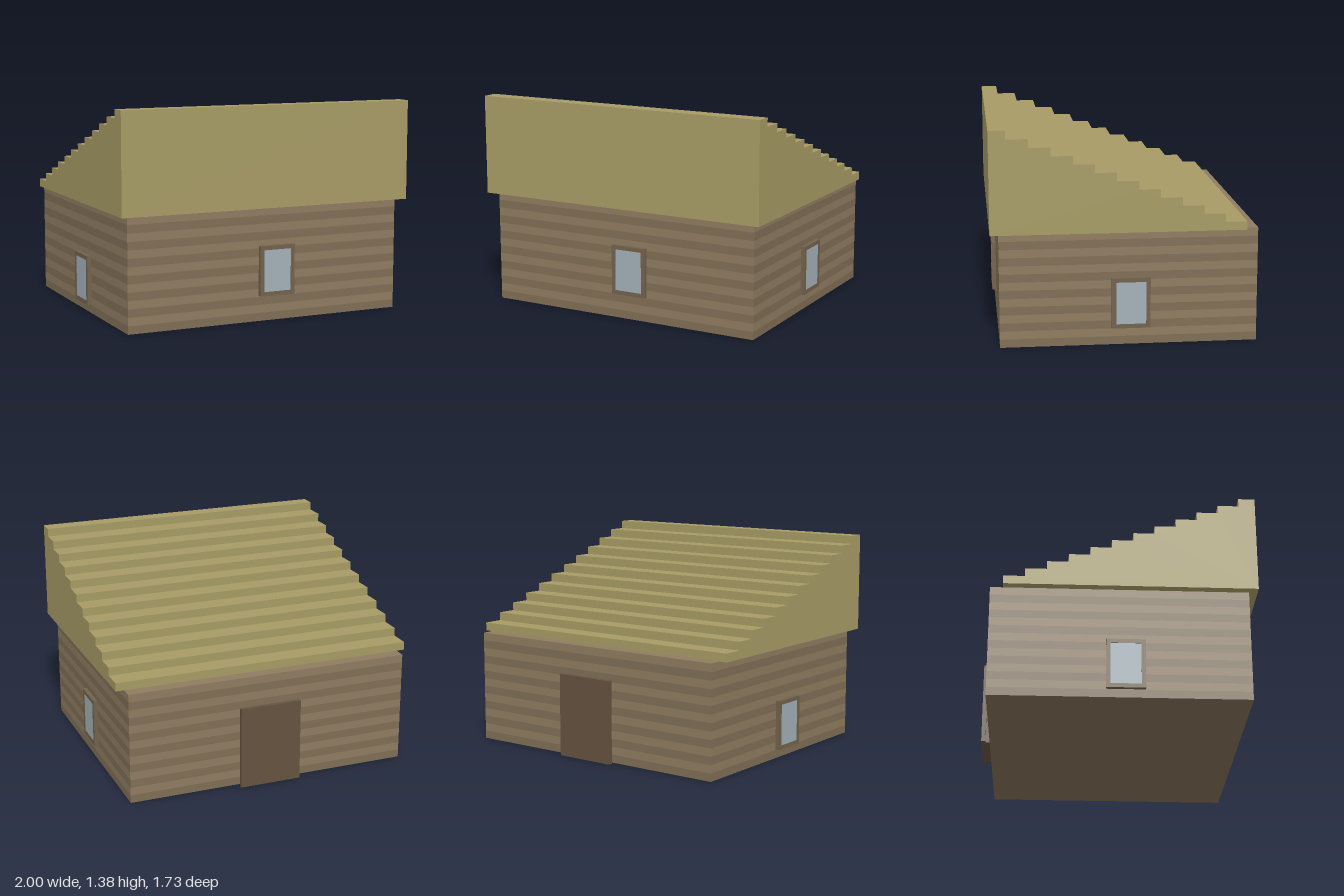
import * as THREE from 'three';

const mat = (color) => new THREE.MeshStandardMaterial({ color, flatShading: true });
const ROOF = mat(0xa69b65), LIGHT = mat(0x8f7c60), DARK = mat(0x7f6e55);
const FRAME = mat(0x72624c), DOOR = mat(0x64523f), GLASS = mat(0xa3b0b8);

// box given by its min and max corners
function box(name, material, [x0, y0, z0], [x1, y1, z1]) {
  const mesh = new THREE.Mesh(new THREE.BoxGeometry(x1 - x0, y1 - y0, z1 - z0), material);
  mesh.position.set((x0 + x1) / 2, (y0 + y1) / 2, (z0 + z1) / 2);
  mesh.name = name;
  return mesh;
}

function rect(target, w, h) {
  target.moveTo(-w / 2, -h / 2);
  target.lineTo(w / 2, -h / 2);
  target.lineTo(w / 2, h / 2);
  target.lineTo(-w / 2, h / 2);
  target.closePath();
  return target;
}

// framed window facing +z, its back on z = 0
function makeWindow(name) {
  const w = 0.243, h = 0.324, border = 0.027, depth = 0.027;
  const g = new THREE.Group();
  g.name = name;
  const shape = rect(new THREE.Shape(), w, h);
  shape.holes.push(rect(new THREE.Path(), w - 2 * border, h - 2 * border));
  const frame = new THREE.Mesh(
    new THREE.ExtrudeGeometry(shape, { depth, bevelEnabled: false }), FRAME);
  frame.name = 'windowFrame';
  const pw = w / 2 - border, ph = h / 2 - border;
  g.add(frame, box('windowPane', GLASS, [-pw, -ph, 0], [pw, ph, depth - 0.002]));
  return g;
}

export function createModel() {
  const model = new THREE.Group();
  model.name = 'cabin';
  const X = 0.945, Z = 0.811, H = 0.732;

  // walls: flush boards in two alternating tones
  const walls = new THREE.Group();
  walls.name = 'walls';
  const boards = 14;
  for (let i = 0; i < boards; i++) {
    walls.add(box('wallBoard', i % 2 ? LIGHT : DARK,
      [-X, (H * i) / boards, -Z], [X, (H * (i + 1)) / boards, Z]));
  }
  model.add(walls);

  // stepped single-pitch roof: side profile (u = -z) extruded along x
  const steps = 12, run = 0.1354, rise = 0.0541, back = 0.73, front = 0.865;
  const profile = new THREE.Shape();
  profile.moveTo(-front, H);
  profile.lineTo(back, H);
  for (let i = 0; i < steps; i++) {
    const y = H + rise * (i + 1);
    profile.lineTo(back - run * i, y);
    profile.lineTo(i === steps - 1 ? -front : back - run * (i + 1), y);
  }
  profile.closePath();
  const roof = new THREE.Mesh(
    new THREE.ExtrudeGeometry(profile, { depth: 2, bevelEnabled: false }), ROOF);
  roof.name = 'steppedRoof';
  roof.rotation.y = Math.PI / 2;
  roof.position.x = -1;
  model.add(roof);

  // windows on the front and both sides
  const windows = [
    ['frontWindow', 0.068, 0.325, Z, 0],
    ['leftWindow', X, 0.272, -0.01, Math.PI / 2],
    ['rightWindow', -X, 0.217, 0.035, -Math.PI / 2],
  ];
  for (const [name, x, y, z, turn] of windows) {
    const w = makeWindow(name);
    w.position.set(x, y, z);
    w.rotation.y = turn;
    model.add(w);
  }

  // back door: inner slab behind a slightly larger outer one
  model.add(
    box('doorBacking', DOOR, [-0.165, 0, -0.838], [0.19, 0.514, -Z]),
    box('door', DOOR, [-0.192, 0, -0.865], [0.217, 0.541, -0.838]));
  return model;
}
